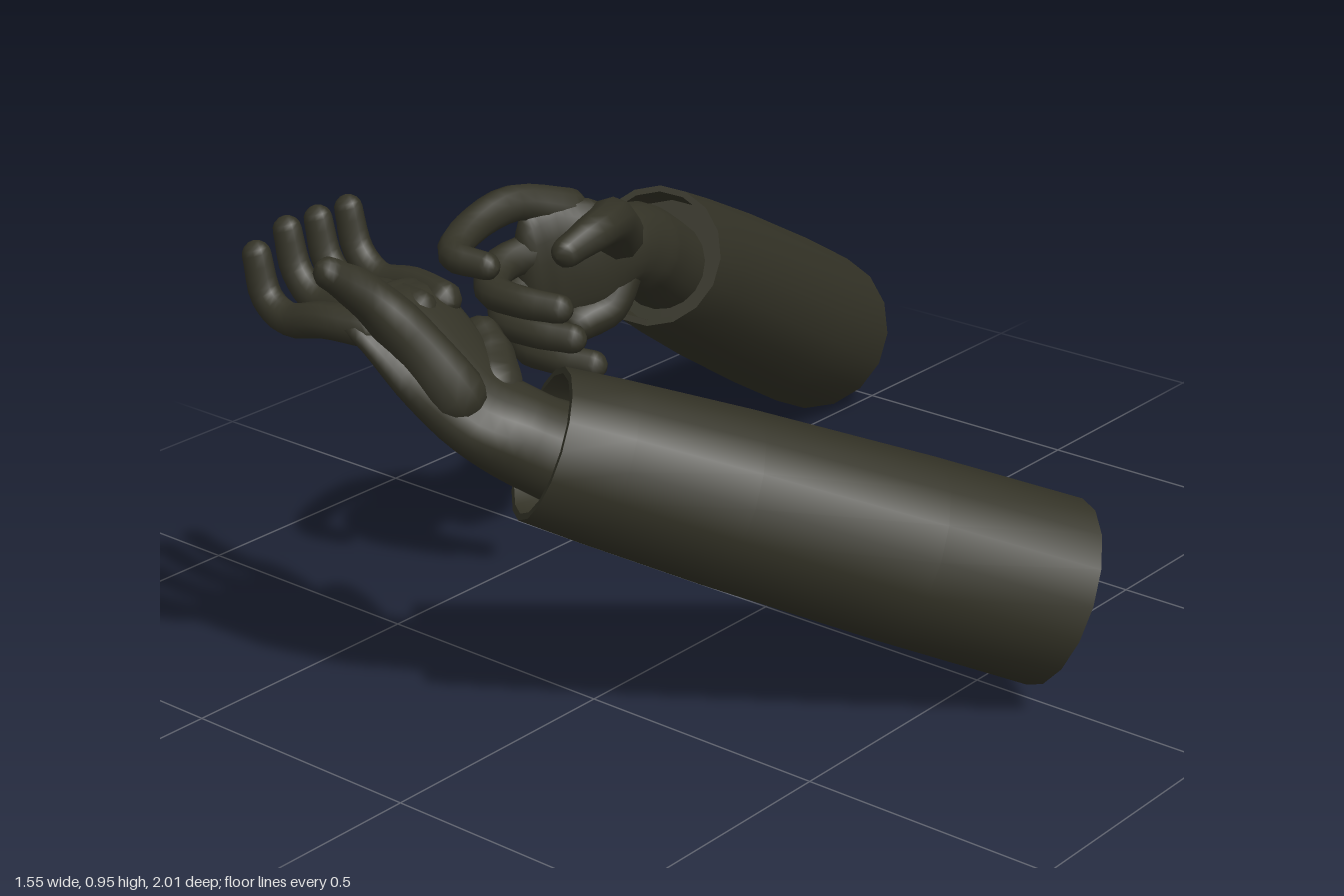
import * as THREE from 'three';
import { toCreasedNormals } from 'three/addons/utils/BufferGeometryUtils.js';

const V = (x, y, z) => new THREE.Vector3(x, y, z);

// Rounded body through sections [x, y, z, halfWidth, halfThickness]; width runs along "side".
function loft(sections, side, steps = 5, sides = 12) {
  const curve = new THREE.CatmullRomCurve3(sections.map(s => V(s[0], s[1], s[2])), false, 'centripetal');
  const rings = [];
  const n = (sections.length - 1) * steps;
  const addRing = (t, push, scale) => {
    const f = t * (sections.length - 1);
    const i = Math.min(Math.floor(f), sections.length - 2);
    const k = f - i, e = k * k * (3 - 2 * k);
    const a = sections[i], b = sections[i + 1];
    const w = a[3] + (b[3] - a[3]) * e, h = a[4] + (b[4] - a[4]) * e;
    const dir = curve.getTangent(t);
    const u = side.clone().addScaledVector(dir, -side.dot(dir)).normalize();
    const v = dir.clone().cross(u);
    const c = curve.getPoint(t).addScaledVector(dir, push * Math.min(w, h));
    rings.push({ c, u: u.multiplyScalar(w * scale), v: v.multiplyScalar(h * scale) });
  };
  // Rounded ends on both sides of the body
  const cap = [0.01, 0.4, 0.75, 0.93];
  cap.forEach(s => addRing(0, -Math.sqrt(1 - s * s), s));
  for (let i = 0; i <= n; i++) addRing(i / n, 0, 1);
  cap.slice().reverse().forEach(s => addRing(1, Math.sqrt(1 - s * s), s));

  const pos = [], index = [];
  rings.forEach((r, j) => {
    for (let i = 0; i < sides; i++) {
      const a = i / sides * Math.PI * 2;
      const p = r.c.clone().addScaledVector(r.u, Math.cos(a)).addScaledVector(r.v, Math.sin(a));
      pos.push(p.x, p.y, p.z);
      if (j === 0) continue;
      const k = (i + 1) % sides, A = (j - 1) * sides, B = j * sides;
      index.push(A + i, A + k, B + k, A + i, B + k, B + i);
    }
  });
  const g = new THREE.BufferGeometry();
  g.setAttribute('position', new THREE.Float32BufferAttribute(pos, 3));
  g.setIndex(index);
  g.computeVertexNormals();
  return g;
}

// Round finger through points, tapering from r0 to r1
function finger(points, r0, r1, side) {
  const last = points.length - 1;
  return loft(points.map((p, i) => {
    const r = r0 + (r1 - r0) * i / last;
    return [...p, r, r];
  }), side, 4, 10);
}

// Tapered sleeve with a closed elbow end and a hollow cuff
function sleeve(elbow, cuff) {
  const len = elbow.distanceTo(cuff);
  const profile = [
    [0, 0], [0.176, 0], [0.172, len * 0.3], [0.16, len * 0.65], [0.147, len * 0.88],
    [0.138, len], [0.126, len], [0.122, len - 0.07], [0, len - 0.07],
  ].map(p => new THREE.Vector2(...p));
  const g = toCreasedNormals(new THREE.LatheGeometry(profile, 16), 0.7);
  const q = new THREE.Quaternion().setFromUnitVectors(V(0, 1, 0), cuff.clone().sub(elbow).normalize());
  return g.applyQuaternion(q).translate(elbow.x, elbow.y, elbow.z);
}

export function createModel() {
  const model = new THREE.Group();
  model.name = 'pairOfArms';
  const dark = new THREE.MeshStandardMaterial({ color: 0x333226 });
  dark.name = 'darkOlive';

  const arm = name => {
    const g = new THREE.Group();
    g.name = name;
    model.add(g);
    return (part, geometry) => {
      const m = new THREE.Mesh(geometry, dark);
      m.name = part;
      g.add(m);
    };
  };
  const names = ['indexFinger', 'middleFinger', 'ringFinger', 'littleFinger'];

  // Left arm: open hand, palm up
  const left = arm('leftArm');
  const across = V(0.12, 0, 1);
  left('leftSleeve', sleeve(V(0.63, 0.2, -0.05), V(0.05, 0.575, 0.675)));
  left('leftPalm', loft([
    [0.11, 0.53, 0.61, 0.1, 0.09],
    [0.04, 0.59, 0.7, 0.09, 0.08],
    [-0.03, 0.66, 0.765, 0.1, 0.06],
    [-0.09, 0.74, 0.79, 0.122, 0.048],
    [-0.15, 0.8, 0.805, 0.125, 0.038],
    [-0.19, 0.815, 0.81, 0.12, 0.028],
  ], across, 5, 18));
  left('leftHeel', finger([[-0.03, 0.67, 0.71], [-0.07, 0.705, 0.675], [-0.1, 0.73, 0.66]], 0.055, 0.038, V(0, 1, 0)));
  left('leftThumb', finger([
    [-0.02, 0.69, 0.81], [-0.08, 0.8, 0.86], [-0.125, 0.88, 0.915], [-0.14, 0.925, 0.97],
  ], 0.055, 0.028, V(1, 0, 0)));
  names.forEach((n, i) => {
    const z = 0.92 - i * 0.073, drop = i === 0 ? 0.025 : 0;
    left(n, finger([
      [-0.14, 0.805, 0.89 - i * 0.06], [-0.22, 0.808, z - 0.005], [-0.3, 0.805 - drop * 0.5, z],
      [-0.35, 0.845 - drop, z], [-0.37, 0.918 - drop, z],
    ], 0.034, 0.025, V(0, 0, 1)));
  });

  // Right arm: curled fingers, with index finger and thumb forming a loop
  const right = arm('rightArm');
  const up = V(0, 1, 0);
  right('rightSleeve', sleeve(V(-0.61, 0.155, -0.92), V(-0.335, 0.625, -0.07)));
  right('rightPalm', loft([
    [-0.37, 0.57, -0.15, 0.09, 0.09],
    [-0.32, 0.66, -0.01, 0.088, 0.085],
    [-0.29, 0.695, 0.07, 0.08, 0.065],
    [-0.3, 0.69, 0.15, 0.118, 0.052],
    [-0.33, 0.69, 0.22, 0.13, 0.042],
    [-0.345, 0.685, 0.26, 0.115, 0.033],
  ], up, 5, 18));
  right('rightHeel', finger([[-0.29, 0.65, 0.09], [-0.285, 0.595, 0.13], [-0.3, 0.575, 0.19]], 0.05, 0.042, V(1, 0, 0)));
  right('rightThumb', finger([
    [-0.27, 0.73, 0.11], [-0.205, 0.795, 0.195], [-0.155, 0.815, 0.29], [-0.155, 0.795, 0.375],
  ], 0.052, 0.029, up));
  right(names[0], finger([
    [-0.33, 0.79, 0.18], [-0.365, 0.82, 0.29], [-0.365, 0.8, 0.41],
    [-0.33, 0.78, 0.485], [-0.26, 0.772, 0.475],
  ], 0.038, 0.026, up));
  for (let i = 0; i < 3; i++) {
    const y = 0.69 - i * 0.068, z = -[0, 0.035, 0.09][i];
    right(names[i + 1], finger([
      [-0.34, y + 0.035, 0.22 + z * 0.5], [-0.362, y + 0.02, 0.33 + z], [-0.325, y, 0.395 + z],
      [-0.25, y - 0.005, 0.4 + z], [-0.18, y - 0.01, 0.375 + z],
    ], 0.037, 0.028, up));
  }
  return model;
}
